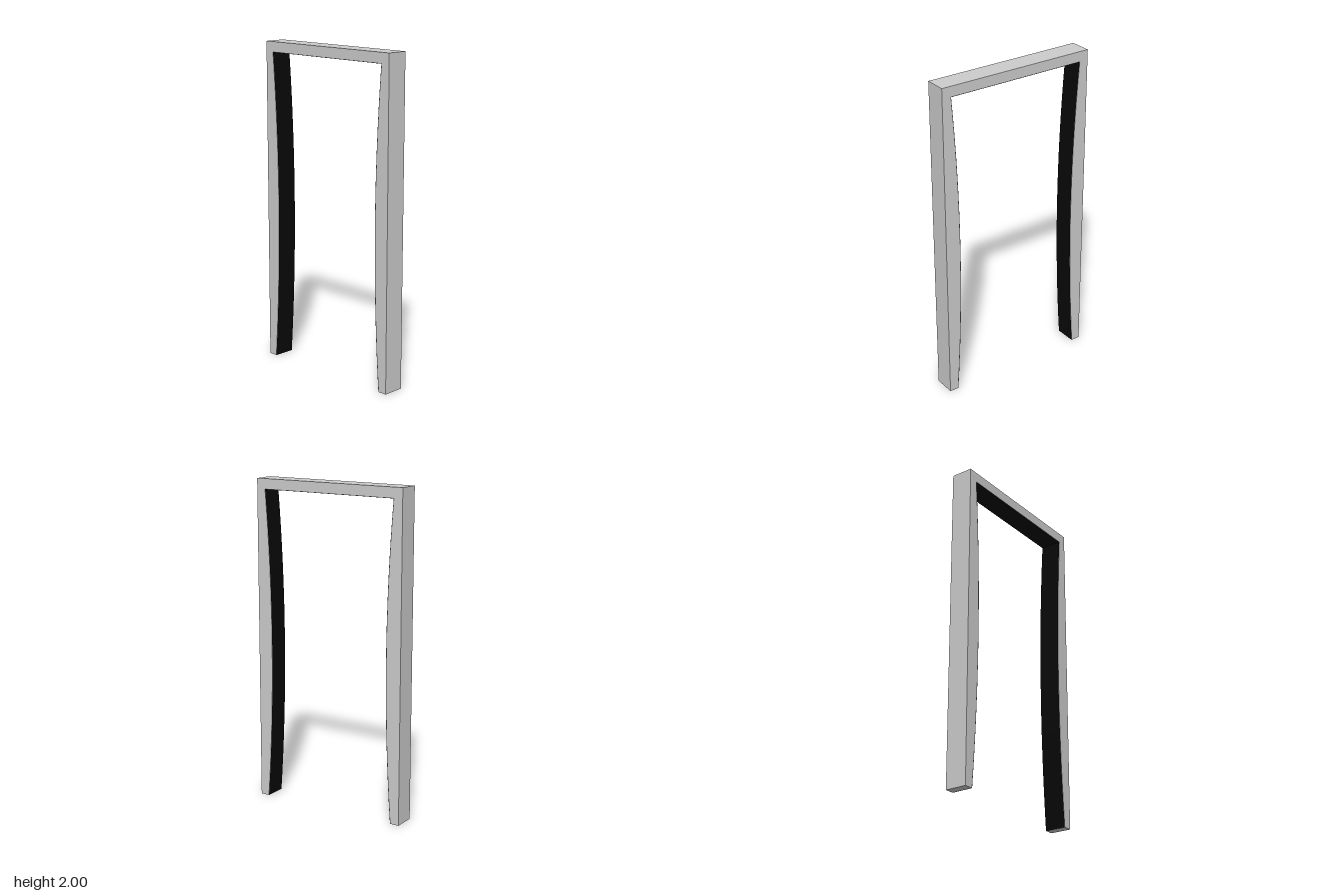
import * as THREE from 'three';

const HALF_W = 0.504, HEIGHT = 2, DEPTH = 0.134;
const OPEN_H = 1.937, OPEN_X = 0.447, BULGE = 0.039, STEPS = 16;

// Inner outline of the opening: up the left leg, across the lintel, down the right leg.
// Each leg swells gently towards its middle; gap shifts the line into the opening.
function openingLine(gap = 0) {
  const left = [];
  for (let i = 0; i <= STEPS; i++) {
    const t = i / STEPS;
    const x = OPEN_X - BULGE * 4 * t * (1 - t) - gap;
    left.push(new THREE.Vector2(x, t * (OPEN_H - gap)));
  }
  const right = left.map(p => new THREE.Vector2(-p.x, p.y)).reverse();
  return [...left, ...right];
}

// Solid frame: two legs and the lintel in one extruded outline
function makeFrame() {
  const shape = new THREE.Shape([
    new THREE.Vector2(-HALF_W, 0),
    new THREE.Vector2(-HALF_W, HEIGHT),
    new THREE.Vector2(HALF_W, HEIGHT),
    new THREE.Vector2(HALF_W, 0),
    ...openingLine(),
  ]);
  const geometry = new THREE.ExtrudeGeometry(shape, { depth: DEPTH, bevelEnabled: false });
  geometry.translate(0, 0, -DEPTH / 2);
  const frame = new THREE.Mesh(geometry, new THREE.MeshStandardMaterial({ color: 0xcccccc }));
  frame.name = 'frame';
  return frame;
}

// Dark lining: a strip bent along the inside of the opening
function makeLining() {
  const line = openingLine(0.001);
  const strip = new THREE.PlaneGeometry(1, 1, line.length - 1, 1);
  const pos = strip.attributes.position;
  for (let i = 0; i < pos.count; i++) {
    const p = line[i % line.length];
    pos.setXYZ(i, p.x, p.y, i < line.length ? -DEPTH / 2 : DEPTH / 2);
  }
  const geometry = strip.toNonIndexed();
  geometry.computeVertexNormals();
  const lining = new THREE.Mesh(
    geometry,
    new THREE.MeshStandardMaterial({ color: 0x080808, side: THREE.DoubleSide }),
  );
  lining.name = 'innerLining';
  return lining;
}

export function createModel() {
  const model = new THREE.Group();
  model.name = 'doorFrame';
  model.add(makeFrame(), makeLining());
  return model;
}
